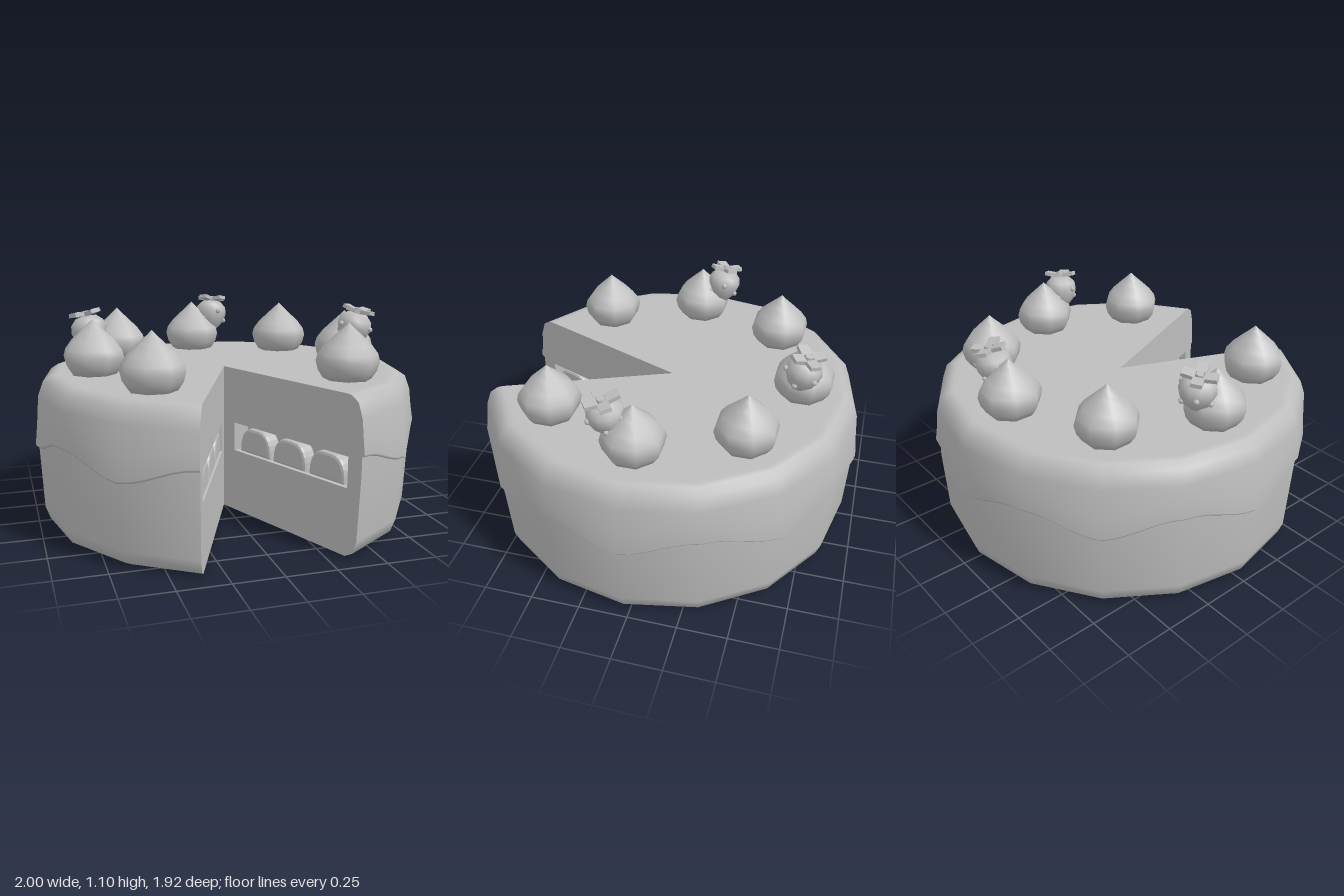
import * as THREE from 'three';

const grey = new THREE.MeshStandardMaterial({ color: 0xbdbdbd, side: THREE.DoubleSide });
grey.name = 'plainGrey';

const SIDES = 16, STEP = Math.PI / 8, START = STEP, SWEEP = STEP * 14;
const TOP = 0.78;

function add(parent, name, geometry, x = 0, y = 0, z = 0) {
  const mesh = new THREE.Mesh(geometry, grey);
  mesh.name = name;
  mesh.position.set(x, y, z);
  parent.add(mesh);
  return mesh;
}
const points = list => list.map(([x, y]) => new THREE.Vector2(x, y));

// Lower sponge, a 16-sided round with one eighth removed
function spongeGeometry() {
  return new THREE.LatheGeometry(points([
    [0, 0], [0.87, 0], [0.9, 0], [0.945, 0.025], [0.968, 0.09], [0.983, 0.42], [0.975, 0.62],
  ]), 14, START, SWEEP);
}

// Icing cap whose lower rim rises and falls in waves along the 16-sided outline
function icingGeometry() {
  const geo = new THREE.LatheGeometry(points([
    [0.972, 0.465], [0.99, 0.459], [1, 0.472], [0.988, 0.56], [0.976, 0.68],
    [0.95, 0.75], [0.91, 0.776], [0.885, TOP], [0.86, TOP], [0, TOP],
  ]), 14 * 6, START, SWEEP);
  const p = geo.attributes.position;
  for (let i = 0; i < p.count; i++) {
    const x = p.getX(i), y = p.getY(i), z = p.getZ(i);
    const a = Math.atan2(x, z) + Math.PI * 2;
    const off = (a % STEP) - STEP / 2;
    const k = Math.cos(Math.PI / SIDES) / Math.cos(off);
    const weight = THREE.MathUtils.clamp((0.66 - y) / 0.18, 0, 1);
    p.setXYZ(i, x * k, y - 0.045 * weight * Math.cos(8 * a), z * k);
  }
  return geo;
}

// One cut side: flat face with a slot, the slot's walls and three fruit slices
function cutSide(angle, facing) {
  const side = new THREE.Group();
  side.name = 'cutSide';
  side.rotation.y = angle - Math.PI / 2;

  const r0 = 0.09, r1 = 0.9, y0 = 0.335, y1 = 0.487, depth = 0.1;
  const mid = (r0 + r1) / 2, midY = (y0 + y1) / 2;
  const face = new THREE.Shape(points([
    [0, 0], [0.9, 0], [0.945, 0.025], [0.968, 0.09], [0.983, 0.42], [0.983, 0.505], [0.998, 0.51],
    [0.988, 0.58], [0.976, 0.68], [0.95, 0.75], [0.91, 0.776], [0.885, TOP], [0, TOP],
  ]));
  face.holes.push(new THREE.Path(points([[r0, y0], [r0, y1], [r1, y1], [r1, y0]])));
  const faceGeo = new THREE.ShapeGeometry(face);
  if (facing < 0) {
    // turn the winding so the face looks into the gap
    const idx = faceGeo.index;
    for (let i = 0; i < idx.count; i += 3) {
      const b = idx.getX(i + 1);
      idx.setX(i + 1, idx.getX(i + 2));
      idx.setX(i + 2, b);
    }
    faceGeo.computeVertexNormals();
  }
  add(side, 'cutFace', faceGeo);

  const back = -facing * depth, half = back / 2, t = 0.008;
  add(side, 'slotBack', new THREE.BoxGeometry(r1 - r0, y1 - y0, t), mid, midY, back);
  for (const [y, s, name] of [[y0, -1, 'slotFloor'], [y1, 1, 'slotCeiling']])
    add(side, name, new THREE.BoxGeometry(r1 - r0, t, depth), mid, y + s * t / 2, half);
  for (const [r, s] of [[r0, -1], [r1, 1]])
    add(side, 'slotEnd', new THREE.BoxGeometry(t, y1 - y0, depth), r + s * t / 2, midY, half);

  // Arched fruit slices with softened edges
  const arch = new THREE.Shape();
  arch.moveTo(-0.1, 0);
  arch.lineTo(0.105, 0);
  arch.bezierCurveTo(0.105, 0.06, 0.085, 0.108, 0.03, 0.108);
  arch.lineTo(-0.02, 0.108);
  arch.bezierCurveTo(-0.07, 0.108, -0.1, 0.07, -0.1, 0);
  const slice = new THREE.ExtrudeGeometry(arch, {
    depth: 0.05, bevelSize: 0.015, bevelThickness: 0.015, bevelSegments: 2, curveSegments: 6,
  });
  slice.translate(0, 0, -0.025);
  for (const r of [0.245, 0.5, 0.757]) add(side, 'fruitSlice', slice, r, 0.352, -facing * 0.045);
  return side;
}

// Pointed cream swirl, eight-sided
const creamGeometry = new THREE.LatheGeometry(points([
  [0, 0], [0.118, 0], [0.145, 0.04], [0.157, 0.088], [0.147, 0.125], [0.115, 0.168],
  [0.06, 0.22], [0.025, 0.252], [0, 0.277],
]), 8, Math.PI / 8);

// Berry with seeds and a four-leaf crown
function berry() {
  const g = new THREE.Group();
  g.name = 'berry';
  add(g, 'berryBody', new THREE.LatheGeometry(points([
    [0, -0.1], [0.04, -0.088], [0.075, -0.045], [0.092, 0.005], [0.085, 0.045], [0.055, 0.075], [0, 0.085],
  ]), 10));
  const seed = new THREE.SphereGeometry(0.015, 6, 4);
  for (let i = 0; i < 6; i++) {
    const a = i * Math.PI / 3 + 0.3, low = i % 2;
    const r = low ? 0.078 : 0.09;
    add(g, 'seed', seed, r * Math.cos(a), low ? -0.035 : 0.012, r * Math.sin(a));
  }
  add(g, 'stem', new THREE.CylinderGeometry(0.02, 0.025, 0.03, 6), 0, 0.092, 0);
  const leaf = new THREE.BoxGeometry(0.062, 0.02, 0.054);
  for (let i = 0; i < 4; i++) {
    const arm = new THREE.Group();
    arm.name = 'leafArm';
    arm.rotation.y = i * Math.PI / 2 + 0.6;
    add(arm, 'leaf', leaf, 0.053, 0.094, 0).rotation.z = 0.15;
    g.add(arm);
  }
  return g;
}

export function createModel() {
  const model = new THREE.Group();
  model.name = 'cutCake';
  const cake = new THREE.Group();
  cake.name = 'cake';
  cake.position.z = 0.035;
  model.add(cake);

  add(cake, 'sponge', spongeGeometry());
  add(cake, 'icing', icingGeometry());
  cake.add(cutSide(STEP, 1), cutSide(-STEP, -1));

  // Seven swirls around the rim, every second one topped with a berry
  for (let i = 1; i <= 7; i++) {
    const spot = new THREE.Group();
    spot.name = 'topping';
    spot.rotation.y = i * Math.PI / 4;
    const cream = add(spot, 'creamSwirl', creamGeometry, 0, TOP, 0.69);
    cream.rotation.y = -spot.rotation.y;
    if (i % 2 === 0) {
      const b = berry();
      b.position.set(-0.122, 0.978, 0.692);
      b.rotation.set(0.2, 0, 0.12);
      spot.add(b);
    }
    cake.add(spot);
  }
  return model;
}
